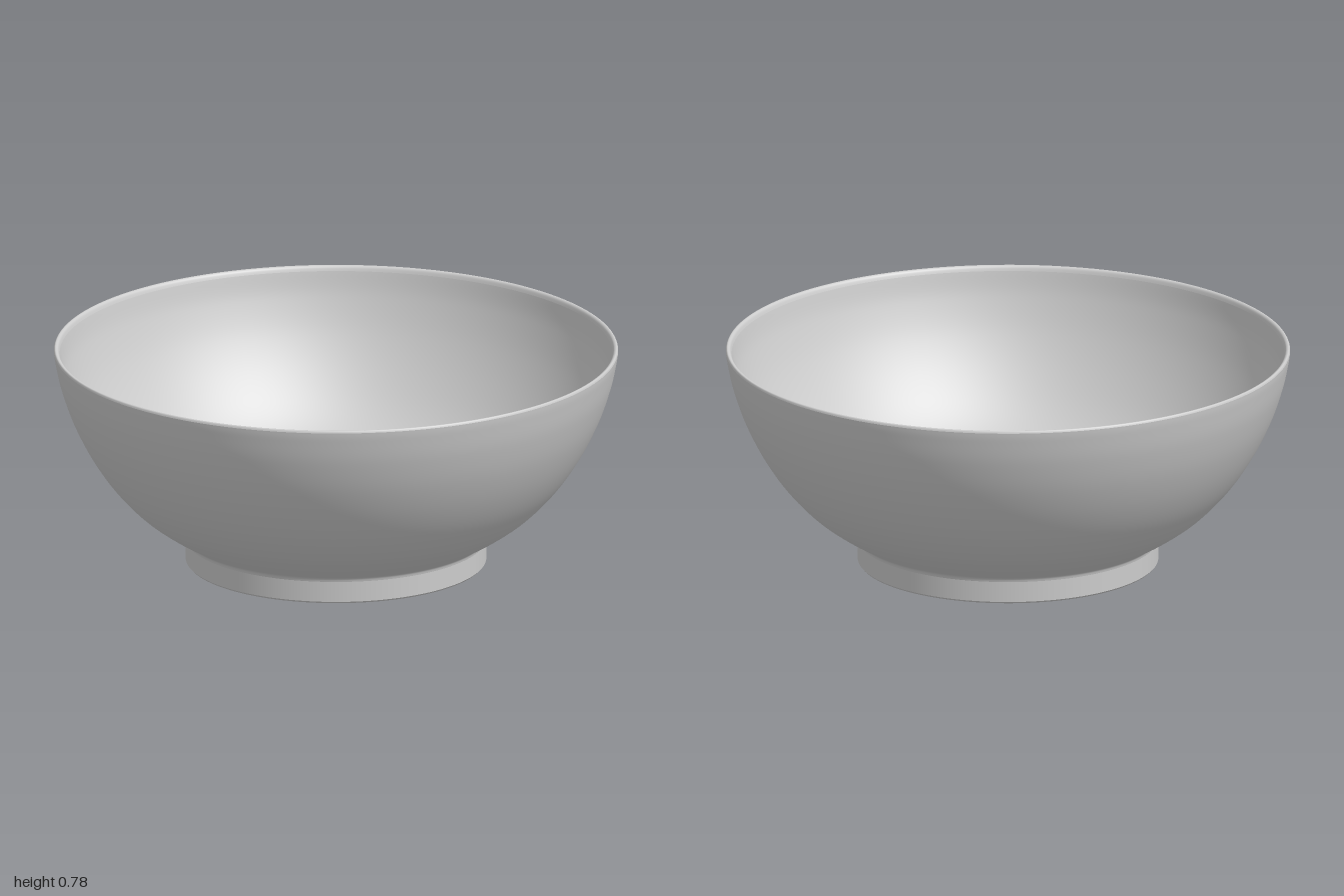
import * as THREE from 'three';

const material = new THREE.MeshStandardMaterial({ color: 0xcccccc, side: THREE.DoubleSide });
const vecs = (pts) => pts.map(([x, y]) => new THREE.Vector2(x, y));
const smooth = (pts, n = 32) => new THREE.SplineCurve(vecs(pts)).getPoints(n);

// Each part is one smooth stretch of the section, so edges between parts stay sharp.
function turned(name, points) {
  const mesh = new THREE.Mesh(new THREE.LatheGeometry(points, 128), material);
  mesh.name = name;
  return mesh;
}

// A run of straight bands, each with its own normals
function banded(name, pts) {
  const group = new THREE.Group();
  group.name = name;
  for (let i = 0; i < pts.length - 1; i++) {
    group.add(turned(`${name}Band${i + 1}`, vecs([pts[i], pts[i + 1]])));
  }
  return group;
}

export function createModel() {
  const model = new THREE.Group();
  model.name = 'vesselBasin';

  // Outer wall, with a small cove where it meets the foot
  model.add(turned('outerWall', smooth([
    [0.533, 0.08], [0.538, 0.093], [0.555, 0.105], [0.62, 0.143], [0.71, 0.21],
    [0.80, 0.305], [0.875, 0.415], [0.935, 0.535], [0.975, 0.65], [0.995, 0.74], [1.0, 0.775],
  ], 60)));

  // Thin rounded rim
  model.add(turned('rim', smooth([
    [1.0, 0.775], [0.997, 0.782], [0.991, 0.783], [0.984, 0.778], [0.979, 0.765],
  ], 12)));

  // Inner wall down to the flat floor
  model.add(turned('innerWall', smooth([
    [0.979, 0.765], [0.96, 0.68], [0.915, 0.56], [0.85, 0.44],
    [0.77, 0.33], [0.68, 0.245], [0.57, 0.18],
  ], 40)));
  model.add(turned('floor', vecs([[0.57, 0.18], [0.15, 0.18]])));

  // Drain hole: eased top edge, straight bore, collar hanging under the floor
  model.add(turned('drainEdge', smooth([
    [0.15, 0.18], [0.132, 0.174], [0.117, 0.161], [0.108, 0.138],
  ], 12)));
  model.add(banded('drainCollar', [[0.108, 0.138], [0.108, 0.005], [0.155, 0.005], [0.155, 0.1]]));

  // Recessed underside and foot ring
  model.add(turned('underside', vecs([[0.155, 0.1], [0.448, 0.1]])));
  model.add(banded('footRing', [[0.448, 0.1], [0.448, 0], [0.528, 0], [0.533, 0.006], [0.533, 0.08]]));

  return model;
}
